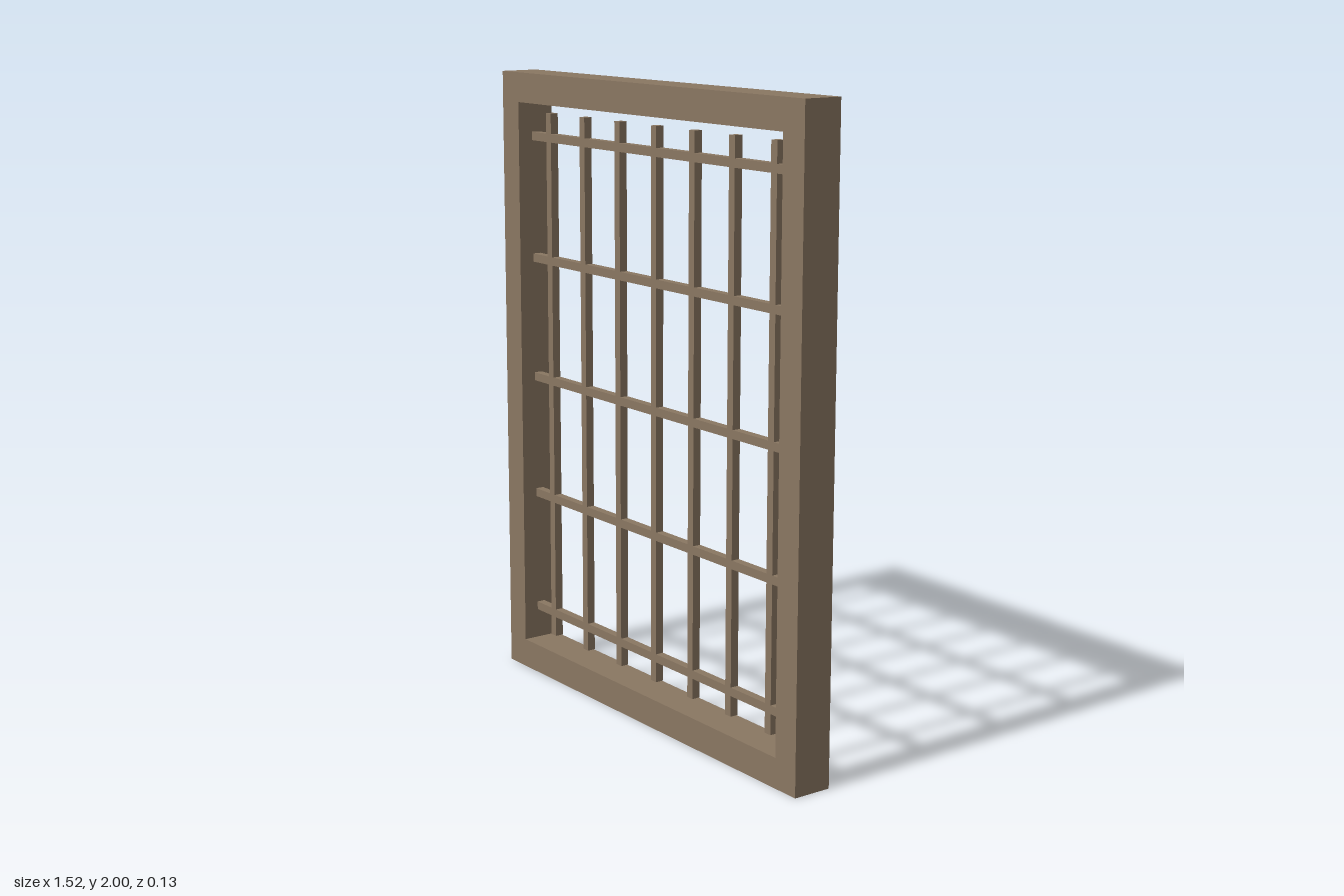
import * as THREE from 'three';

export function createModel() {
  const group = new THREE.Group();
  const wood = new THREE.MeshStandardMaterial({ color: 0x8a7762 });

  const W = 1.524, H = 2, D = 0.127;   // outer frame
  const innerW = 1.34, innerH = 1.81;  // opening
  const bar = 0.027;                   // square lattice bars

  const add = (name, geometry, x, y, z) => {
    const mesh = new THREE.Mesh(geometry, wood);
    mesh.name = name;
    mesh.position.set(x, y, z);
    group.add(mesh);
  };

  const rectangle = (Type, w, h) => new Type([
    new THREE.Vector2(-w / 2, -h / 2), new THREE.Vector2(w / 2, -h / 2),
    new THREE.Vector2(w / 2, h / 2), new THREE.Vector2(-w / 2, h / 2),
  ]);

  // Outer frame with a rectangular opening
  const outline = rectangle(THREE.Shape, W, H);
  outline.holes.push(rectangle(THREE.Path, innerW, innerH));
  add('frame', new THREE.ExtrudeGeometry(outline, { depth: D, bevelEnabled: false }), 0, H / 2, -D / 2);

  // Upright bars, stopping short of the frame at both ends
  const upright = new THREE.BoxGeometry(bar, 1.746, bar);
  for (let i = -3; i <= 3; i++) add('verticalBar', upright, i * 0.1905, H / 2, 0);

  // Cross bars, spanning the opening
  const cross = new THREE.BoxGeometry(innerW, bar, bar);
  for (let i = -2; i <= 2; i++) add('horizontalBar', cross, 0, H / 2 + i * 0.397, 0);

  return group;
}
